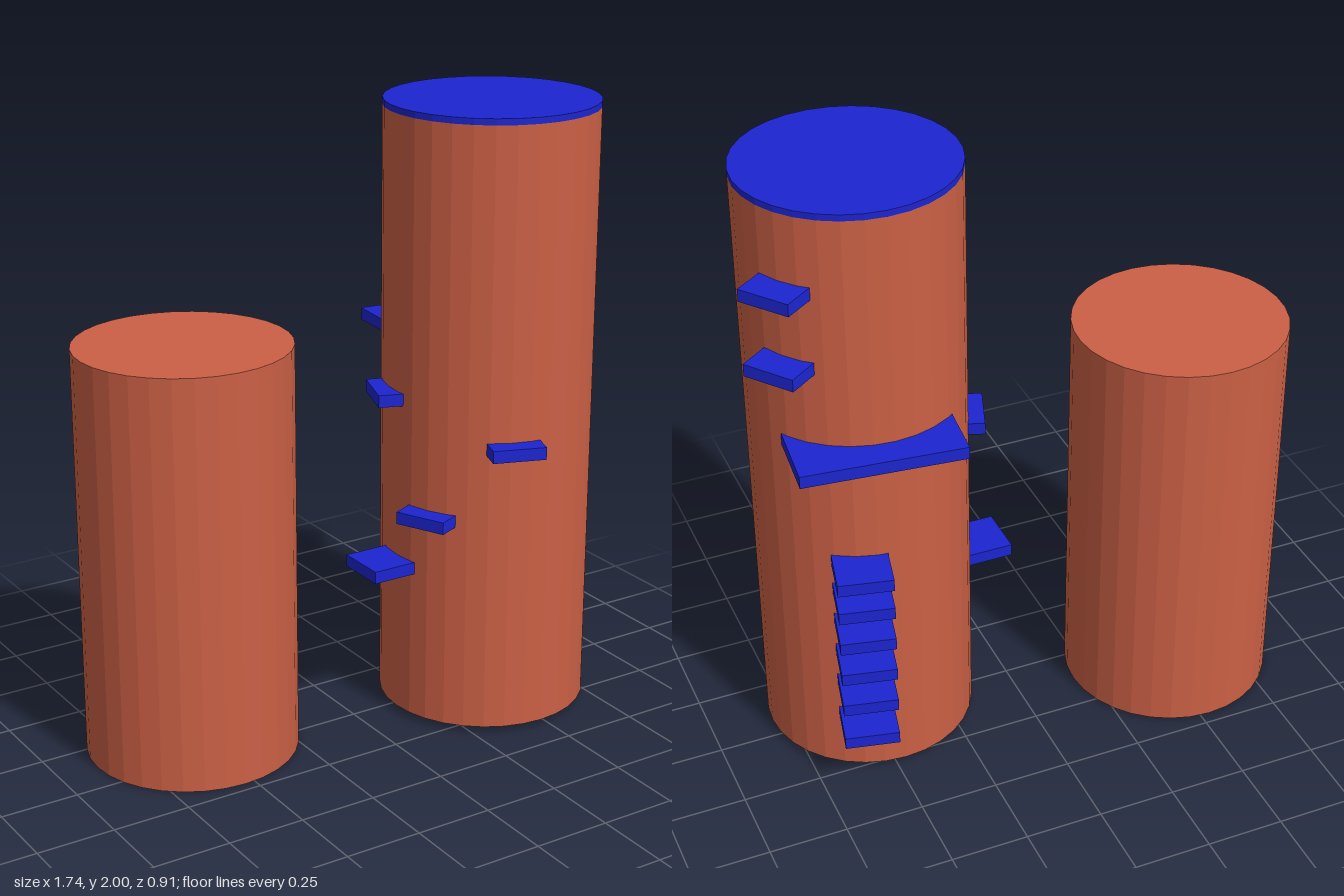
import * as THREE from 'three';

const RED = new THREE.MeshStandardMaterial({ color: 0xcb6045, flatShading: true });
const BLUE = new THREE.MeshStandardMaterial({ color: 0x1c25d0, flatShading: true });
const RADIUS = 0.338;
const THICK = 0.04;

function cylinder(name, material, x, z, bottom, top) {
  const mesh = new THREE.Mesh(new THREE.CylinderGeometry(RADIUS, RADIUS, top - bottom, 32), material);
  mesh.position.set(x, (bottom + top) / 2, z);
  mesh.name = name;
  return mesh;
}

// Slab whose outer edge is centred on (x, z), facing along (nx, nz) and running into the tower
function ledge(name, y, x, z, nx, nz, width = 0.17, depth = 0.2) {
  const geometry = new THREE.BoxGeometry(width, THICK, depth).translate(0, 0, -depth / 2);
  const mesh = new THREE.Mesh(geometry, BLUE);
  mesh.position.set(x, y, z);
  mesh.rotation.y = Math.atan2(nx, nz);
  mesh.name = name;
  return mesh;
}

export function createModel() {
  const model = new THREE.Group();
  model.name = 'towers';

  // Two round towers and the cap of the taller one
  model.add(cylinder('shortTower', RED, -0.532, -0.122, 0, 1.33));
  model.add(cylinder('tallTower', RED, 0.47, 0.053, 0.02, 1.98));
  model.add(cylinder('towerCap', BLUE, 0.47, 0.053, 1.98, 2));

  // Ledges on the side facing the short tower, and one at the front
  model.add(ledge('sideLedgeLow', 0.535, -0.005, 0.05, -1, 0));
  model.add(ledge('sideLedgeMiddle', 0.725, 0.105, 0.217, -0.91, 0.416));
  model.add(ledge('frontLedge', 0.97, 0.331, 0.426, -0.335, 0.942));
  model.add(ledge('sideLedgeHigh', 1.085, 0.088, -0.03, -0.944, -0.33));

  // Ladder of steps up the back
  const ladder = new THREE.Group();
  ladder.name = 'backLadder';
  for (const y of [0.23, 0.363, 0.484, 0.603, 0.72, 0.825]) {
    ladder.add(ledge('ladderStep', y, 0.617, -0.394, 0.22, -0.975));
  }
  model.add(ladder);

  // Wide landing above the ladder
  model.add(ledge('backLanding', 1.223, 0.535, -0.373, 0.1, -0.995, 0.505, 0.25));

  // Upper steps towards the cap
  for (const y of [1.5, 1.745]) {
    model.add(ledge('upperStep', y, 0.816, -0.205, 0.8, -0.6));
  }
  return model;
}
